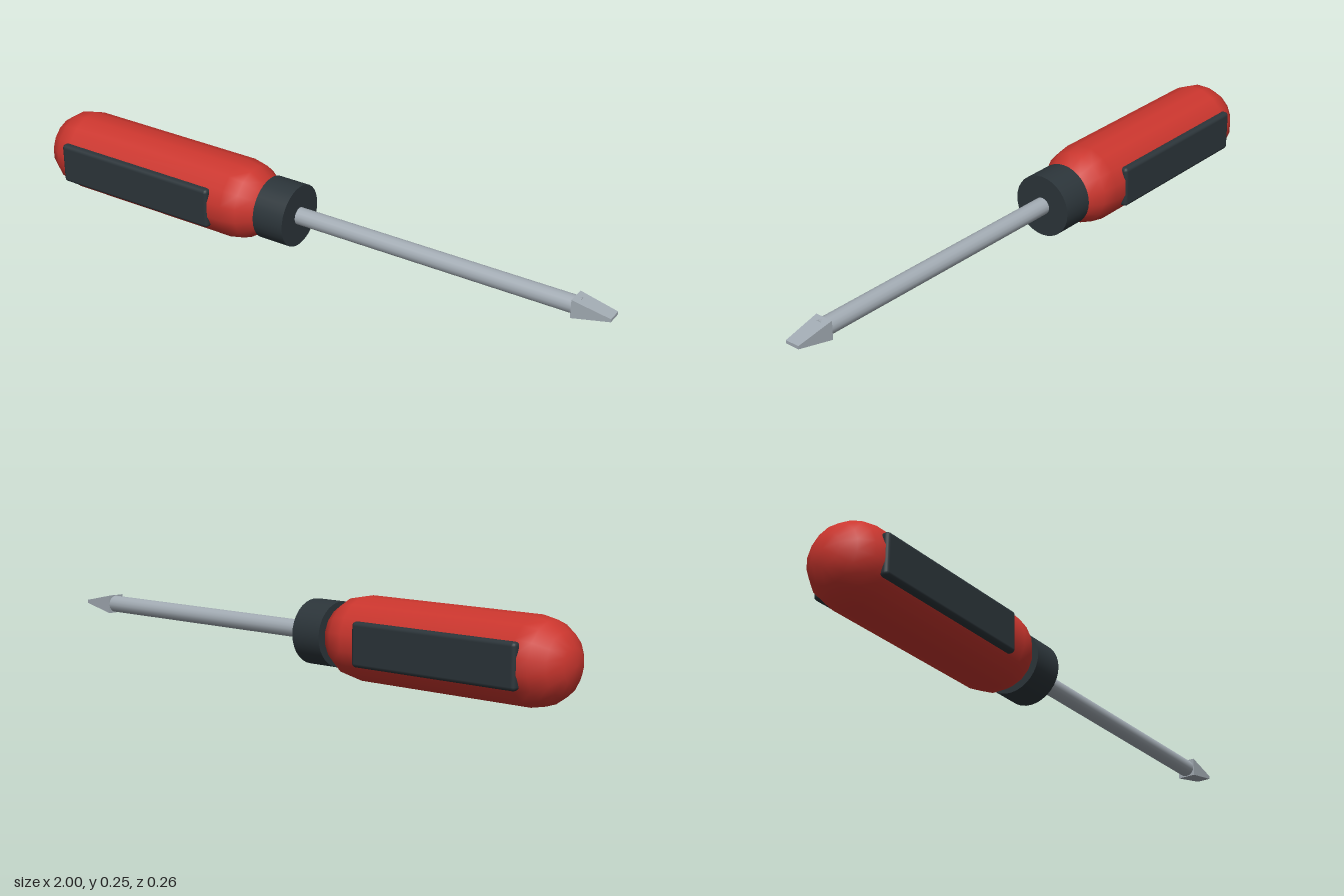
import * as THREE from 'three';
import { RoundedBoxGeometry } from 'three/addons/geometries/RoundedBoxGeometry.js';

const AXIS_Y = 0.128; // height of the tool's long axis

export function createModel() {
  const model = new THREE.Group();
  model.name = 'screwdriver';

  const material = (name, color) => {
    const m = new THREE.MeshStandardMaterial({ color });
    m.name = name;
    return m;
  };
  const red = material('red plastic', 0xcb362e);
  const dark = material('dark rubber', 0x2c353a);
  const steel = material('steel', 0xa3acb4);

  const add = (name, geometry, mat, x, z = 0) => {
    const mesh = new THREE.Mesh(geometry, mat);
    mesh.name = name;
    mesh.position.set(x, AXIS_Y, z);
    model.add(mesh);
    return mesh;
  };
  // Round bar lying along x
  const bar = (name, radius, x0, x1, sides, mat) =>
    add(name, new THREE.CylinderGeometry(radius, radius, x1 - x0, sides).rotateZ(-Math.PI / 2), mat, (x0 + x1) / 2);

  // Handle: sixteen-sided capsule with a flat side up
  const r = 0.128, x0 = -1, x1 = -0.135;
  const handle = new THREE.CapsuleGeometry(r, x1 - x0 - 2 * r, 4, 16)
    .rotateY(Math.PI / 16).rotateZ(-Math.PI / 2);
  add('handle', handle, red, (x0 + x1) / 2);

  // Grip pads on the front and back of the handle
  for (const side of [1, -1]) {
    add(side > 0 ? 'frontGripPad' : 'backGripPad',
      new RoundedBoxGeometry(0.58, 0.134, 0.03, 2, 0.012), dark, -0.6, side * 0.115);
  }

  // Collar and shaft
  bar('collar', 0.1, -0.157, -0.05, 32, dark);
  bar('shaft', 0.028, -0.06, 0.9, 16, steel);

  // Blade: square block narrowing to a flat edge
  const blade = new THREE.BoxGeometry(0.12, 0.06, 0.06);
  const p = blade.attributes.position;
  for (let i = 0; i < p.count; i++) {
    if (p.getX(i) > 0) {
      p.setY(i, Math.sign(p.getY(i)) * 0.005);
      p.setZ(i, Math.sign(p.getZ(i)) * 0.024);
    }
  }
  blade.computeVertexNormals();
  add('blade', blade, steel, 0.94);

  return model;
}
